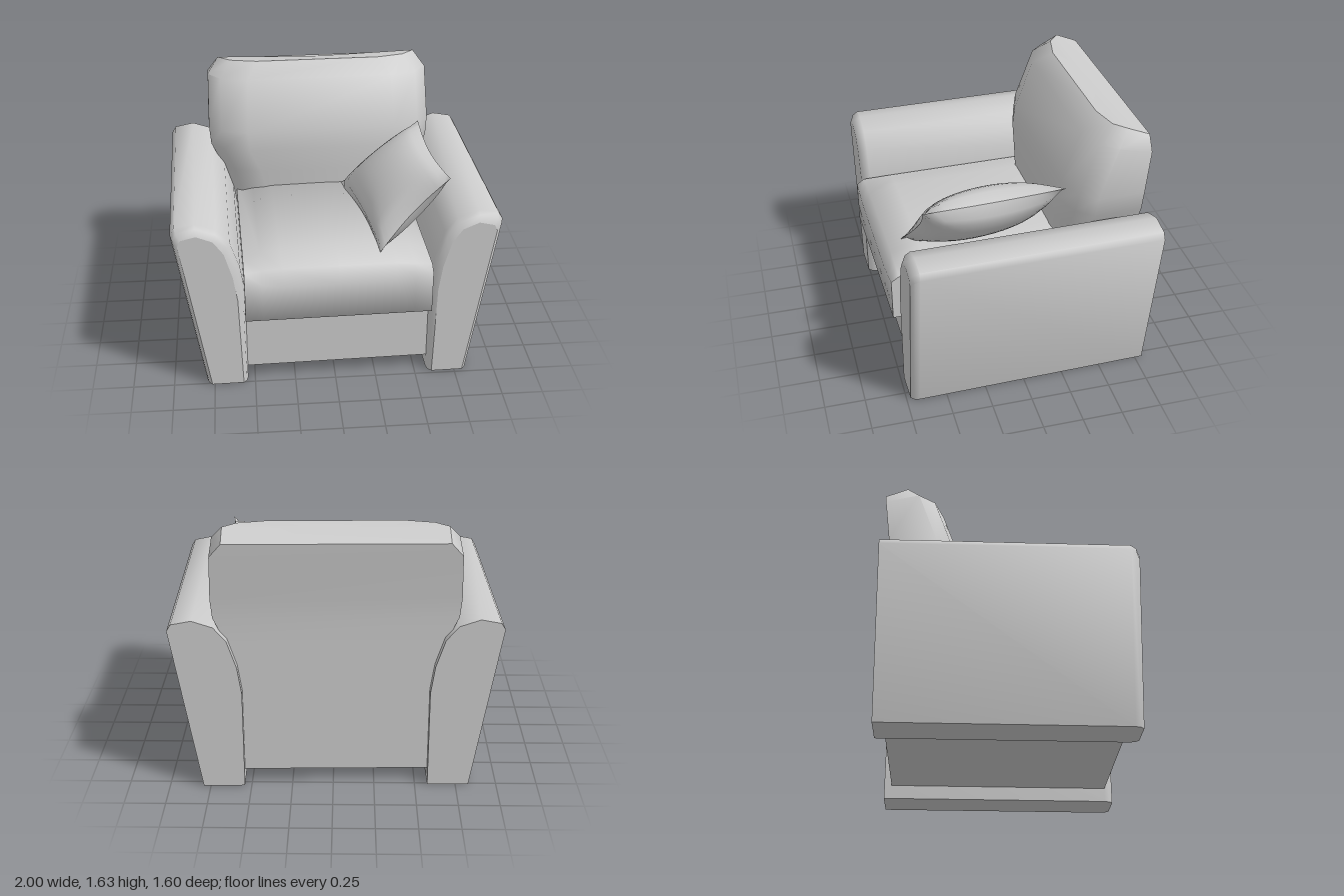
import * as THREE from 'three';
import { toCreasedNormals, mergeGeometries } from 'three/addons/utils/BufferGeometryUtils.js';

const grey = new THREE.MeshStandardMaterial({ color: 0xcccccc });

function part(name, geometry) {
  const mesh = new THREE.Mesh(geometry, grey);
  mesh.name = name;
  return mesh;
}

function indexed(points, index) {
  const g = new THREE.BufferGeometry();
  g.setAttribute('position', new THREE.Float32BufferAttribute(points.flat(), 3));
  g.setIndex(index);
  return g;
}

// Skin through equal-length rings (counter-clockwise seen from the far end), with flat caps
function loft(rings, crease) {
  const n = rings[0].length, index = [];
  for (let i = 0; i < rings.length - 1; i++) {
    for (let j = 0; j < n; j++) {
      const k = (j + 1) % n, a = i * n, b = a + n;
      index.push(a + j, a + k, b + k, a + j, b + k, b + j);
    }
  }
  const cap = (ring, flip) => {
    const centre = [0, 1, 2].map(c => ring.reduce((s, p) => s + p[c], 0) / n);
    const fan = [];
    for (let j = 0; j < n; j++) {
      const k = (j + 1) % n;
      fan.push(n, flip ? k : j, flip ? j : k);
    }
    return toCreasedNormals(indexed([...ring, centre], fan), 0.6);
  };
  return mergeGeometries([
    toCreasedNormals(indexed(rings.flat(), index), crease),
    cap(rings[0], true),
    cap(rings[rings.length - 1], false),
  ]);
}

// Flared armrest with a rounded top and a bevelled front
function armGeometry(side) {
  const profile = [[0.812, 0], [0.984, 1.04], [0.96, 1.08], [0.84, 1.103],
    [0.715, 1.06], [0.64, 0.97], [0.585, 0.8], [0.56, 0.63], [0.56, 0]];
  // z, width scale, height scale
  const stations = [[-0.778, 1, 1], [0.69, 1, 1], [0.722, 0.93, 0.985], [0.743, 0.77, 0.95]];
  const rings = stations.map(([z, sx, sy]) => {
    const ring = profile.map(([x, y]) => {
      const mid = 0.686 + 0.12 * y;
      return [side * (mid + (x - mid) * sx), y * sy, z];
    });
    return side < 0 ? ring.reverse() : ring;
  });
  return loft(rings, 0.9);
}

// Backrest: horizontal sections with chamfered front corners
function backrestGeometry() {
  // half width, front z, back z, front y, back y
  const sections = [
    [0.565, -0.27, -0.73, 0.09, 0.09],
    [0.565, -0.27, -0.73, 0.63, 0.63],
    [0.65, -0.275, -0.73, 0.95, 0.95],
    [0.72, -0.283, -0.73, 1.1, 1.1],
    [0.73, -0.3, -0.738, 1.22, 1.22],
    [0.722, -0.415, -0.768, 1.54, 1.49],
    [0.652, -0.53, -0.775, 1.628, 1.57],
  ];
  const rings = sections.map(([w, zf, zb, yf, yb]) => {
    const d = Math.min(0.15, (zf - zb) * 0.45);
    const right = [[w - 0.25, zf], [w - 0.08, zf - d * 0.36], [w, zf - d], [w, zb]];
    const left = right.map(([x, z]) => [-x, z]).reverse();
    return [...right, ...left].map(([x, z]) => [x, z === zb ? yb : yf, z]);
  });
  return loft(rings, 0.95);
}

// Seat cushion: crowned across its width, rolled over at the front
function seatGeometry() {
  // x, top height, shoulder height, front lip height
  const sections = [[0.565, 0.78, 0.778, 0.745], [0.46, 0.818, 0.79, 0.72],
    [0.34, 0.845, 0.8, 0.7], [0, 0.85, 0.8, 0.7]];
  const all = [...sections.map(([x, ...r]) => [-x, ...r]), ...sections.slice(0, 3).reverse()];
  return loft(all.map(([x, top, shoulder, lip]) => [
    [x, top, -0.5], [x, top, 0.56], [x, shoulder, 0.735], [x, lip, 0.783],
    [x, 0.475, 0.783], [x, 0.475, -0.5],
  ]), 1.7);
}

// Pillow: a puffed quadrilateral with pinched corners
function pillowGeometry() {
  const V = (x, y, z) => new THREE.Vector3(x, y, z);
  const frontLow = V(0.275, 0.83, 0.65), frontHigh = V(0.69, 1.275, 0.585);
  const backHigh = V(0.63, 1.27, -0.29), backLow = V(0.115, 0.84, -0.27);
  const centre = V(0.43, 1.05, 0.17), normal = V(-0.7, 0.71, 0.02).normalize();
  const n = 14, faces = [];
  for (const side of [1, -1]) {
    const g = new THREE.PlaneGeometry(2, 2, n, n);
    const pos = g.attributes.position;
    for (let i = 0; i < pos.count; i++) {
      const u = pos.getX(i) * side, v = pos.getY(i);
      const low = backLow.clone().lerp(frontLow, (1 - v) / 2);
      const high = backHigh.clone().lerp(frontHigh, (1 - v) / 2);
      const p = low.lerp(high, (u + 1) / 2);
      const edge = Math.max(Math.abs(u), Math.abs(v));
      const pinch = 0.1 * edge * (1 - Math.min(u * u, v * v));
      p.lerp(centre, pinch);
      const puff = Math.pow(Math.max(0, (1 - u * u) * (1 - v * v)), 0.5);
      p.addScaledVector(normal, side * 0.145 * puff);
      pos.setXYZ(i, p.x, p.y, p.z);
    }
    g.deleteAttribute('uv');
    g.deleteAttribute('normal');
    faces.push(toCreasedNormals(g, 1.2));
  }
  return mergeGeometries(faces);
}

export function createModel() {
  const root = new THREE.Group();
  root.name = 'armchair';

  // The chair stands turned by a degree or so
  const chair = new THREE.Group();
  chair.name = 'chairBody';
  chair.rotation.y = 0.0235;
  root.add(chair);

  const base = part('base', new THREE.BoxGeometry(1.13, 0.39, 1.42));
  base.position.set(0, 0.285, -0.02);
  chair.add(
    base,
    part('seatCushion', seatGeometry()),
    part('backrest', backrestGeometry()),
    part('leftArm', armGeometry(1)),
    part('rightArm', armGeometry(-1)),
  );

  root.add(part('pillow', pillowGeometry()));
  return root;
}
